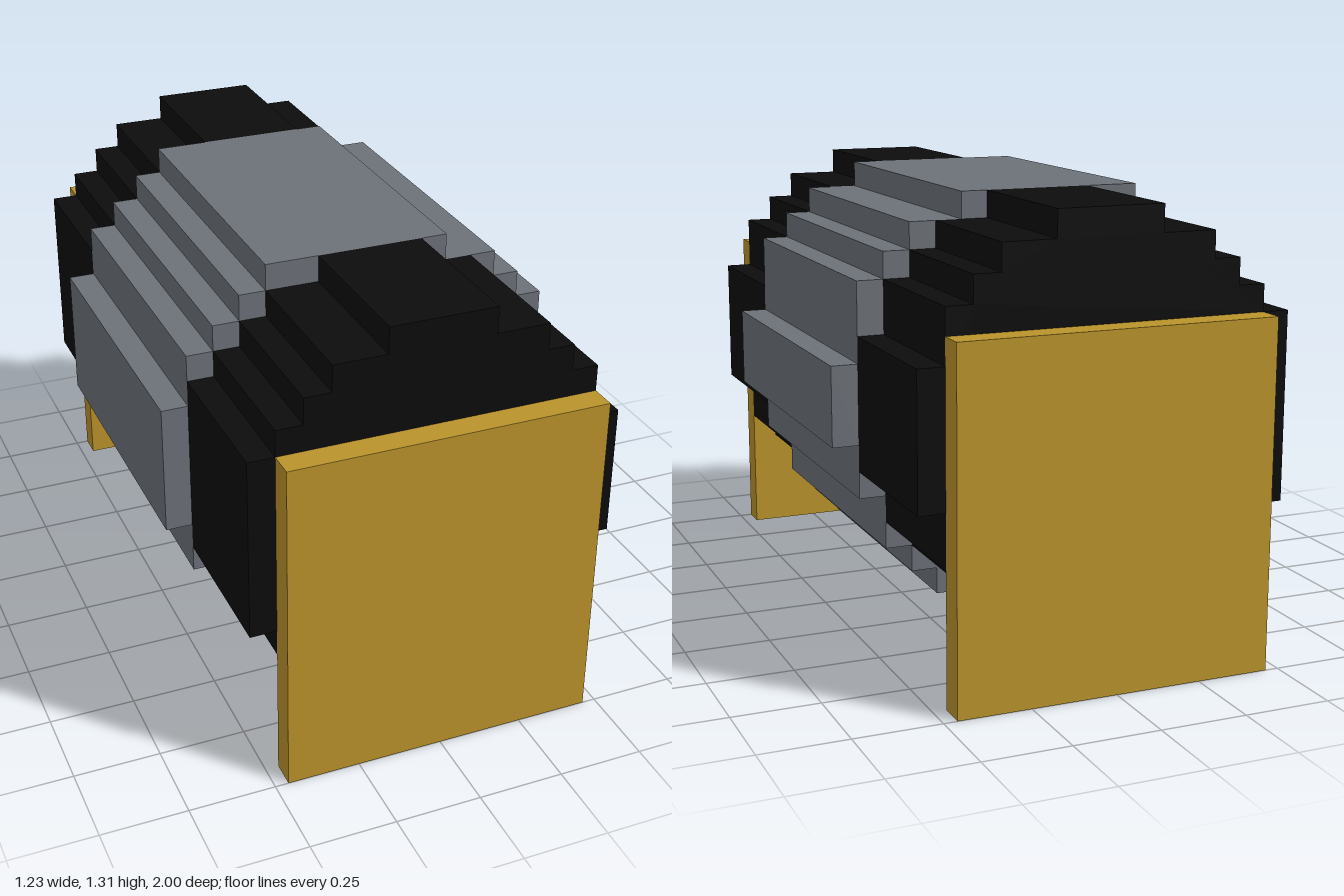
import * as THREE from 'three';

const U = 1 / 13; // one block unit

const material = (name, color) => {
  const m = new THREE.MeshStandardMaterial({ color });
  m.name = name;
  return m;
};

// Rows run upwards: [bottom, top, left edge, right edge] in block units
const bandRows = [
  [2, 3, -3, 4], [3, 4, -5, 5], [4, 5, -6, 6], [5, 6, -7, 6], [6, 7, -7, 7],
  [7, 8, -8, 7], [8, 11, -8, 8], [11, 12, -8, 7], [12, 14, -7, 7],
  [14, 15, -6, 6], [15, 16, -5, 5], [16, 17, -4, 3],
];
const endRows = [
  [3, 4, -4, 3], [4, 5, -5, 5], [5, 6, -6, 6], [6, 7, -7, 6], [7, 12, -7, 7],
  [12, 13, -7, 6], [13, 14, -6, 6], [14, 15, -5, 5], [15, 16, -4, 4], [16, 17, -2, 2],
];

// Stepped cross-section pushed along z
function steppedBarrel(rows, z0, z1) {
  const points = [];
  for (const [y0, y1, , right] of rows) points.push([right, y0], [right, y1]);
  for (const [y0, y1, left] of [...rows].reverse()) points.push([left, y1], [left, y0]);
  // Drop repeated points where neighbouring rows share an edge
  const outline = points.filter((p, i) => i === 0 || p[0] !== points[i - 1][0] || p[1] !== points[i - 1][1]);
  const shape = new THREE.Shape(outline.map(([x, y]) => new THREE.Vector2(x * U, y * U)));
  const geometry = new THREE.ExtrudeGeometry(shape, { depth: (z1 - z0) * U, bevelEnabled: false });
  return geometry.translate(0, 0, z0 * U);
}

export function createModel() {
  const model = new THREE.Group();
  model.name = 'steppedBarrelOnPlates';
  const gold = material('gold', 0xba932b);
  const grey = material('grey', 0x6c7178);
  const black = material('black', 0x0c0c0c);

  const add = (name, geometry, mat) => {
    const mesh = new THREE.Mesh(geometry, mat);
    mesh.name = name;
    model.add(mesh);
    return mesh;
  };

  // Wide middle band and the two darker barrel ends
  add('middleBand', steppedBarrel(bandRows, -6, 6), grey);
  add('frontBarrel', steppedBarrel(endRows, 6, 12), black);
  add('backBarrel', steppedBarrel(endRows, -12, -6), black);

  // Square end plates that carry the barrel
  for (const [name, side] of [['frontPlate', 1], ['backPlate', -1]]) {
    const plate = add(name, new THREE.BoxGeometry(12 * U, 13 * U, U), gold);
    plate.position.set(0, 6.5 * U, side * 12.5 * U);
  }
  return model;
}
